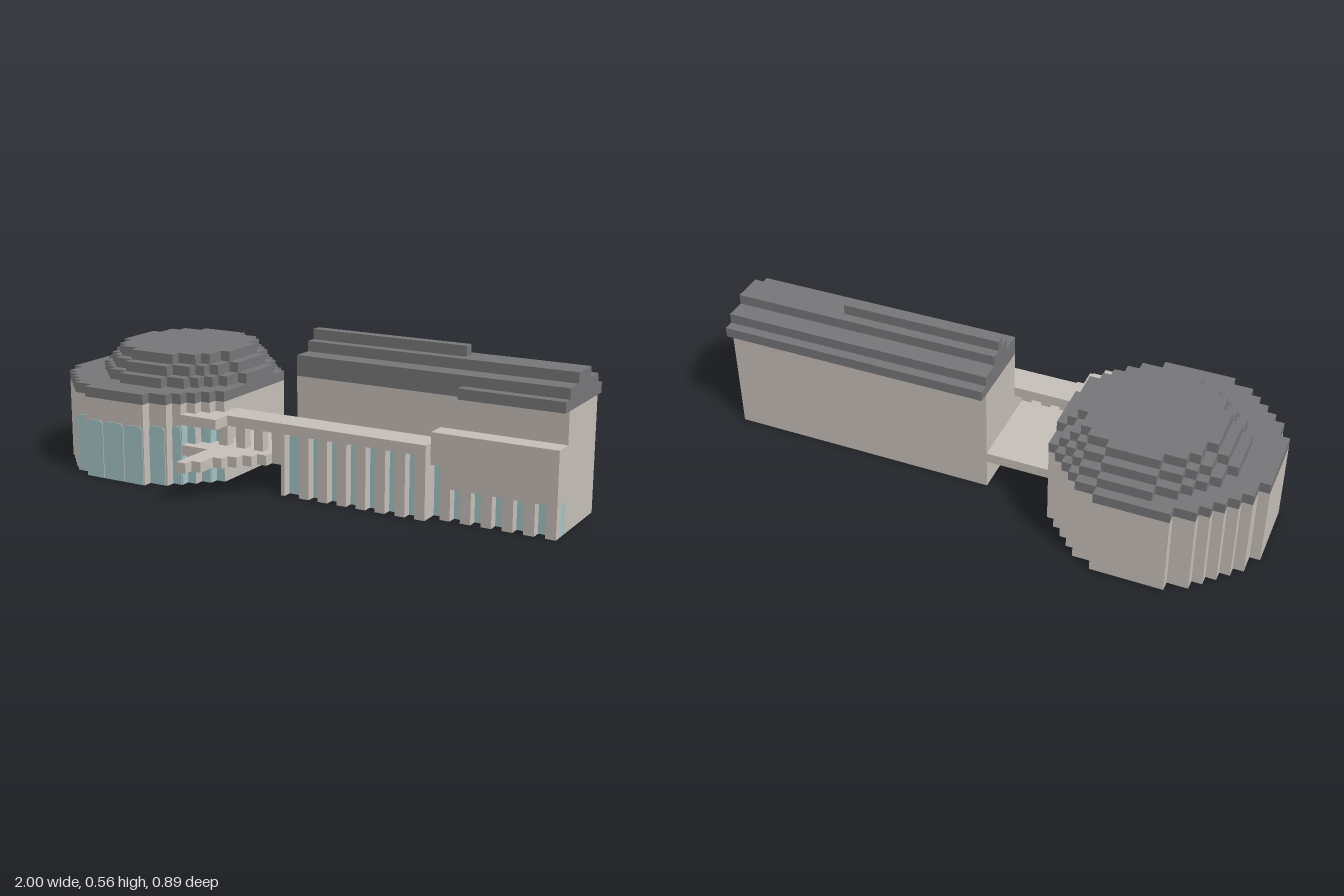
import * as THREE from 'three';

// One block of the modelling grid
const U = 1 / 27;

export function createModel() {
  const model = new THREE.Group();
  model.name = 'stationBuilding';
  const mat = (name, color) => {
    const m = new THREE.MeshStandardMaterial({ color });
    m.name = name;
    return m;
  };
  const stone = mat('paleStone', 0xc8c1bb);
  const slate = mat('slateRoof', 0x78787a);
  const glass = mat('paleBlueGlass', 0xa5c6c8);

  const group = (name) => {
    const g = new THREE.Group();
    g.name = name;
    model.add(g);
    return g;
  };
  const add = (parent, name, geo, material) => {
    const m = new THREE.Mesh(geo, material);
    m.name = name;
    parent.add(m);
    return m;
  };
  // Box from min and max corners, in blocks
  const box = (parent, name, material, x0, x1, y0, y1, z0, z1) => {
    const geo = new THREE.BoxGeometry((x1 - x0) * U, (y1 - y0) * U, (z1 - z0) * U);
    geo.translate((x0 + x1) / 2 * U, (y0 + y1) / 2 * U, (z0 + z1) / 2 * U);
    return add(parent, name, geo, material);
  };
  // Stepped round slab: insets describe one corner staircase, turned four times
  const disc = (parent, name, material, cx, cz, d, insets, y0, y1, maxX = 99) => {
    const h = d / 2, corner = [];
    insets.forEach((a, i) => corner.push([a - h, i - h], [a - h, i + 1 - h]));
    corner.push([-h, insets.length - h]);
    const pts = [];
    let turn = corner;
    for (let k = 0; k < 4; k++) {
      for (const [p, q] of turn) {
        pts.push(new THREE.Vector2(Math.min(cx + p, maxX) * U, -(cz + q) * U));
      }
      turn = turn.map(([p, q]) => [q, -p]);
    }
    const unique = pts.filter((p, i) => !p.equals(pts[(i + 1) % pts.length]));
    const geo = new THREE.ExtrudeGeometry(new THREE.Shape(unique), { depth: (y1 - y0) * U, bevelEnabled: false });
    geo.rotateX(-Math.PI / 2).translate(0, y0 * U, 0);
    return add(parent, name, geo, material);
  };
  // Thin arched pane standing on the ground, facing +z or (side) +x
  const pane = (parent, x, z, w, h, side = false) => {
    const s = new THREE.Shape();
    const r = w * U / 2, H = h * U, c = Math.min(r, 0.5 * U) * 0.6;
    s.moveTo(-r, 0);
    s.lineTo(r, 0);
    s.lineTo(r, H - c);
    s.lineTo(r - c, H);
    s.lineTo(c - r, H);
    s.lineTo(-r, H - c);
    const geo = new THREE.ExtrudeGeometry(s, { depth: 0.003, bevelEnabled: false });
    if (side) geo.rotateY(Math.PI / 2);
    geo.translate(x * U, 0.0005, z * U);
    return add(parent, 'windowPane', geo, glass);
  };

  // Round hall: wall, roof slab and three dome tiers
  const hall = group('roundHall');
  const rim = [7, 5, 4, 3, 2, 1, 1];
  disc(hall, 'drumWall', stone, -16.5, -1.5, 21, rim, 0, 8, -7);
  disc(hall, 'drumRoof', slate, -16.5, -1.5, 21, rim, 8, 9, -7);
  disc(hall, 'domeTier', slate, -15.5, -2.5, 17, [6, 4, 3, 2, 1, 1], 9, 10);
  disc(hall, 'domeTier', slate, -15.5, -2.5, 15, [5, 3, 2, 1, 1], 10, 11);
  disc(hall, 'domeTier', slate, -15.5, -2.5, 13, [4, 2, 1, 1], 11, 12);

  // Hall windows on the front steps: x start, x end, z of the step
  const steps = [
    [-23.6, -23, 6], [-23, -22, 7], [-21.7, -20.1, 8],
    [-19.8, -17.9, 9], [-17.7, -15.4, 9], [-15.2, -13.1, 9],
    [-13, -11.2, 8], [-11, -10, 7], [-10, -9, 6], [-9, -8, 5], [-8, -7, 4],
  ];
  for (const [a, b, z] of steps) pane(hall, (a + b) / 2, z, b - a, 5.8);
  pane(hall, -8, 4.5, 1, 6, true);
  pane(hall, -10, 6.5, 1, 6, true);

  // Link bridge: lower deck, stepped landing, balustrade and upper walkway
  const bridge = group('bridge');
  box(bridge, 'lowerDeck', stone, -7, 0, 3, 4, -5, 5);
  [12, 11, 9, 8, 7, 6].forEach((z, i) =>
    box(bridge, 'landingStep', stone, -7 + i, -6 + i, 3, 4, 5, z));
  box(bridge, 'deckAgainstHall', stone, -10, -7, 3, 4, 4, 7);
  for (let x = -7; x < 0; x += 2) box(bridge, 'baluster', stone, x, x + 1, 4, 6, 4, 5);
  box(bridge, 'upperWalkway', stone, -10, 15, 6, 7, 2, 5);
  box(bridge, 'walkwayEnd', stone, -10, -6, 6, 7, 5, 7);

  // Long hall with colonnade
  const long = group('longHall');
  box(long, 'mainWalls', stone, 0, 27, 0, 11, -5, 2);
  box(long, 'arcadeBack', stone, 0, 15, 0, 6, 2, 4);
  for (let x = 2; x < 15; x += 2) box(long, 'pillar', stone, x, x + 1, 0, 6, 4, 5);
  box(long, 'cornerPillar', stone, 0, 0.4, 0, 6, 4, 5);
  pane(long, 1.2, 4, 1.6, 5.8);
  for (let x = 3; x < 14; x += 2) pane(long, x + 0.5, 4, 1, 5.9);

  // Low annex: back layer, front layer of piers and lintels, recessed panes
  const annex = group('annex');
  box(annex, 'annexBack', stone, 15, 27, 0, 8, 2, 3);
  box(annex, 'annexLintel', stone, 15, 27, 5, 8, 3, 4);
  box(annex, 'annexLowLintel', stone, 16, 27, 3, 5, 3, 4);
  for (let x = 16; x < 27; x += 2) box(annex, 'pier', stone, x, x + 1, 0, 3, 3, 4);
  pane(annex, 15.5, 3, 1, 5);
  for (let x = 17; x < 26; x += 2) pane(annex, x + 0.5, 3, 1, 3);
  pane(annex, 27, 2.5, 1, 3, true).position.x = -0.0029;

  // Stepped ridge roof
  const roof = group('longRoof');
  box(roof, 'eaves', slate, 0, 27, 11, 12, -6, 2);
  box(roof, 'frontEaves', slate, 17, 27, 11, 12, 2, 3);
  box(roof, 'roofStep', slate, 0, 27, 12, 13, -5, 2);
  box(roof, 'roofStep', slate, 0, 27, 13, 14, -3, 0);
  box(roof, 'ridge', slate, 0, 16, 14, 15, -2, -1);

  return model;
}
